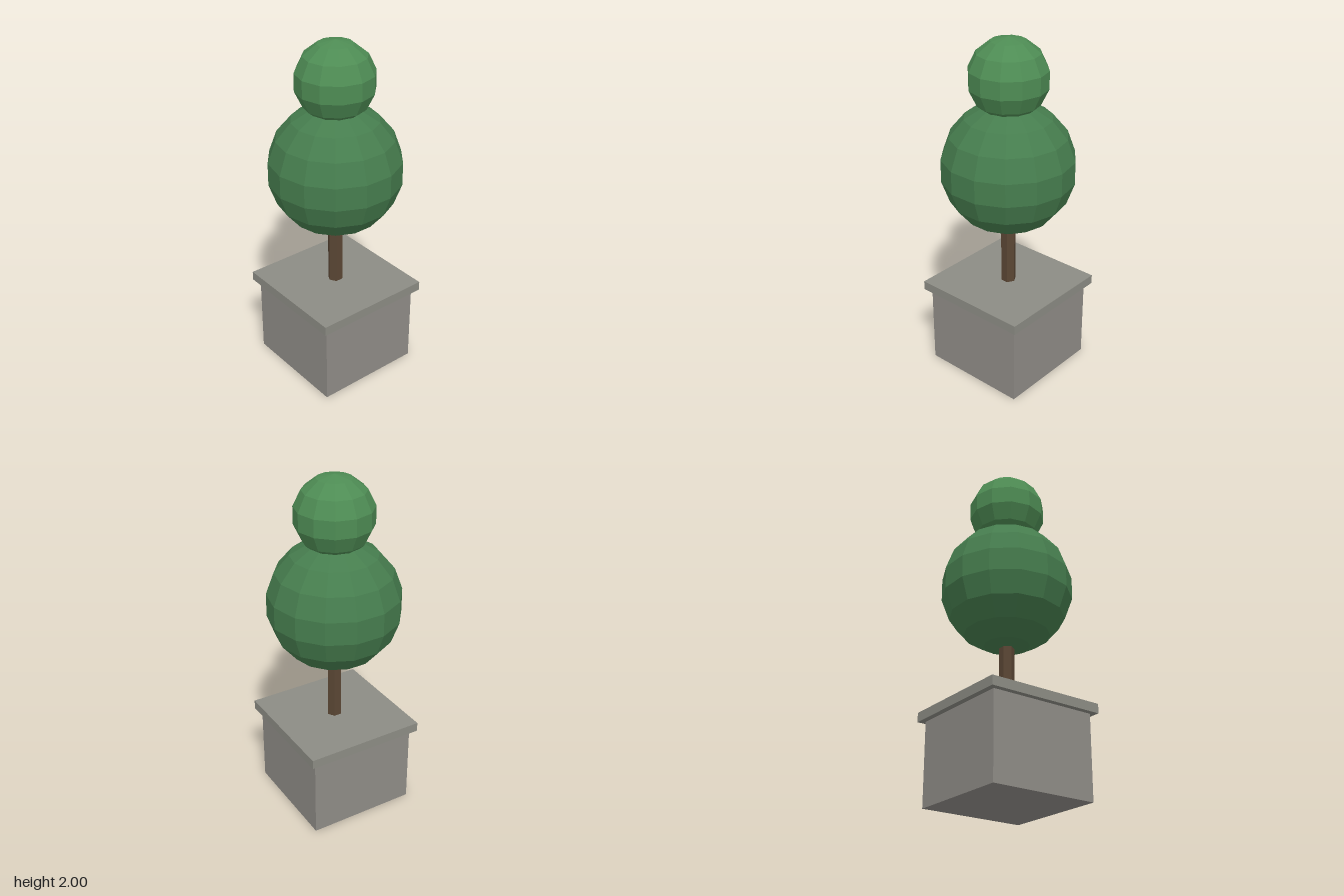
import * as THREE from 'three';

const material = (color) => new THREE.MeshStandardMaterial({ color, flatShading: true });

export function createModel() {
  const model = new THREE.Group();
  model.name = 'topiaryTree';

  const add = (name, geometry, color, y) => {
    const mesh = new THREE.Mesh(geometry, material(color));
    mesh.name = name;
    mesh.position.y = y;
    model.add(mesh);
    return mesh;
  };

  // Square stone planter with an overhanging rim
  add('planterBox', new THREE.BoxGeometry(0.635, 0.482, 0.635), 0x8f8c87, 0.241);
  add('planterRim', new THREE.BoxGeometry(0.7, 0.054, 0.7), 0x8c8c84, 0.508);

  // Six-sided trunk, running from the rim into the lower ball
  add('trunk', new THREE.CylinderGeometry(0.044, 0.044, 0.5, 6), 0x5a4634, 0.77);

  // Clipped foliage balls
  const lower = add('lowerFoliage', new THREE.SphereGeometry(0.381, 14, 9), 0x467d4e, 1.263);
  lower.rotation.y = Math.PI / 2;
  add('upperFoliage', new THREE.SphereGeometry(0.225, 12, 7), 0x4e8c54, 1.775);

  return model;
}
